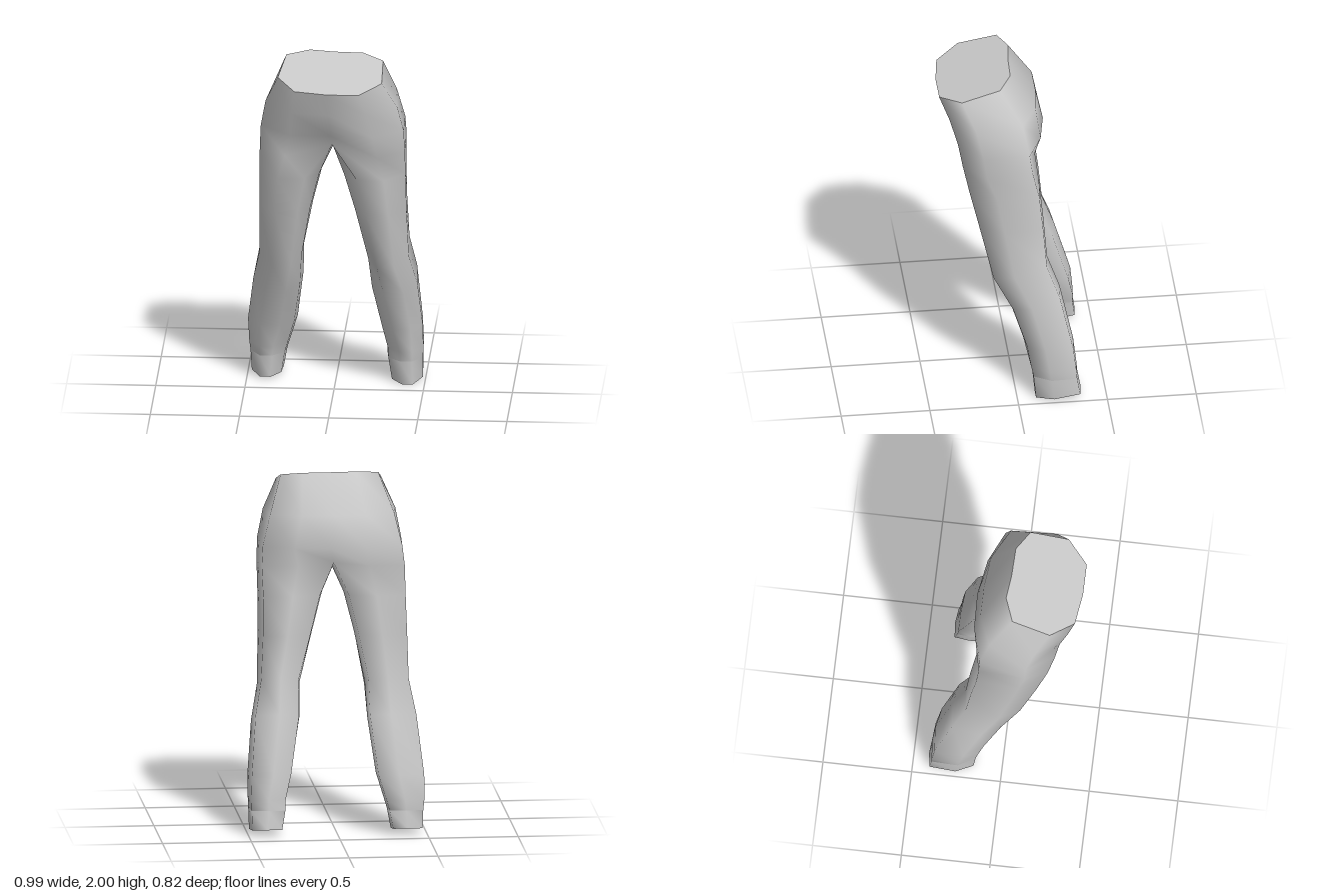
import * as THREE from 'three';
import { mergeVertices } from 'three/addons/utils/BufferGeometryUtils.js';

const fabric = new THREE.MeshStandardMaterial({ color: 0xcacaca });
fabric.name = 'light grey fabric';

// Side wall triangles between an upper and a lower ring
function wall(out, a, b) {
  a.forEach((p, i) => {
    const j = (i + 1) % a.length;
    out.push(...p, ...a[j], ...b[i], ...a[j], ...b[j], ...b[i]);
  });
}

// Fan that closes a ring, facing up or down
function cap(out, ring, up) {
  const c = [0, 1, 2].map(k => ring.reduce((s, p) => s + p[k], 0) / ring.length);
  ring.forEach((p, i) => {
    const q = ring[(i + 1) % ring.length];
    out.push(...c, ...(up ? q : p), ...(up ? p : q));
  });
}

// Smooth mesh from loose triangles
function part(name, triangles) {
  let g = new THREE.BufferGeometry();
  g.setAttribute('position', new THREE.Float32BufferAttribute(triangles, 3));
  g = mergeVertices(g, 1e-4);
  g.computeVertexNormals();
  const m = new THREE.Mesh(g, fabric);
  m.name = name;
  return m;
}

// Outlines as fractions: across (inner to outer), depth (back to front)
const THIGH = [[0.06, 0.1], [0.5, 0], [0.97, 0.04], [1, 0.62],
  [0.68, 0.98], [0.25, 0.95], [0.03, 0.7], [0, 0.36]];
const CALF = [[0.03, 0.08], [0.45, 0], [0.96, 0.04], [1, 0.6],
  [0.74, 0.96], [0.32, 1], [0.05, 0.74], [0, 0.36]];
const HEM = [[0.04, 0.03], [0.5, 0], [0.97, 0.04], [1, 0.62],
  [0.72, 1], [0.38, 1], [0.05, 0.74], [0, 0.36]];
const OUTLINES = [THIGH, THIGH, THIGH, CALF, CALF, HEM, HEM, HEM];

// side: +1 or -1; tilt raises the back of the ring
function legRing(outline, side, [y, tilt, xin, xout, zb, zf]) {
  const r = outline.map(([u, v]) =>
    [side * (xin + (xout - xin) * u), y + tilt * (1 - v), zb + (zf - zb) * v]);
  return side > 0 ? r : r.reverse();
}

// Leg sections: front height, tilt, inner x, outer x, back z, front z
const LEFT = [
  [1.32, 0, 0.055, 0.408, -0.145, 0.263], [1.1, 0, 0.115, 0.41, -0.165, 0.21],
  [0.76, 0.1, 0.187, 0.42, -0.182, 0.13], [0.57, 0.1, 0.197, 0.462, -0.25, 0.03],
  [0.34, 0, 0.25, 0.488, -0.322, -0.045], [0.2, 0, 0.283, 0.49, -0.337, -0.08],
  [0.14, 0, 0.285, 0.488, -0.342, -0.092], [0, 0.035, 0.305, 0.485, -0.36, -0.105]];
const RIGHT = [
  [1.32, 0, 0.065, 0.412, -0.165, 0.253], [1.1, 0, 0.12, 0.416, -0.195, 0.195],
  [0.76, 0.1, 0.175, 0.42, -0.22, 0.1], [0.57, 0.1, 0.182, 0.46, -0.29, 0.0],
  [0.34, 0, 0.22, 0.495, -0.385, -0.09], [0.2, 0, 0.262, 0.49, -0.4, -0.135],
  [0.14, 0, 0.28, 0.483, -0.4, -0.147], [0.01, 0.03, 0.3, 0.477, -0.414, -0.16]];

export function createModel() {
  const group = new THREE.Group();
  group.name = 'trousers';

  // Torso rings run back centre, left side, front centre, right side
  const waist = [[0, 0.005], [0.165, 0.01], [0.28, 0.08], [0.285, 0.295], [0.16, 0.41],
    [-0.02, 0.41], [-0.2, 0.385], [-0.3, 0.255], [-0.265, 0.04], [-0.135, -0.01]]
    .map(([x, z]) => [x, 2 - 0.293 * z, z]);
  const hips = [[0, -0.15], [0.18, -0.13], [0.35, -0.04], [0.367, 0.22], [0.2, 0.355],
    [-0.01, 0.367], [-0.22, 0.345], [-0.374, 0.17], [-0.345, -0.08], [-0.18, -0.15]]
    .map(([x, z]) => [x, 1.77 - 0.07 * z, z]);
  const seat = [[0.02, -0.19], [0.22, -0.155], [0.395, -0.075], [0.402, 0.185], [0.23, 0.312],
    [0, 0.305], [-0.23, 0.302], [-0.403, 0.13], [-0.385, -0.13], [-0.18, -0.185]]
    .map(([x, z]) => [x, 1.6, z]);
  const thighs = [[0, 1.51, -0.13], [0.2, 1.49, -0.125], [0.402, 1.49, -0.09],
    [0.407, 1.47, 0.165], [0.26, 1.47, 0.288], [0, 1.52, 0.21], [-0.26, 1.47, 0.28],
    [-0.409, 1.47, 0.125], [-0.398, 1.49, -0.135], [-0.2, 1.49, -0.145]];
  const crotchFront = [0, 1.475, 0.1], crotchBack = [0, 1.465, -0.03];

  const body = [];
  wall(body, waist, hips);
  wall(body, hips, seat);
  wall(body, seat, thighs);

  // Each leg starts from its half of the thigh ring plus the crotch seam
  const tops = {
    left: [...thighs.slice(0, 6), crotchFront, crotchBack],
    right: [crotchBack, crotchFront, ...thighs.slice(5), thighs[0]],
  };
  for (const [name, side, rows] of [['left', 1, LEFT], ['right', -1, RIGHT]]) {
    const rings = rows.map((row, i) => legRing(OUTLINES[i], side, row));
    const hemBottom = rings.pop();
    let prev = tops[name];
    for (const r of rings) {
      wall(body, prev, r);
      prev = r;
    }
    // Hem band with a closed underside
    const hem = [], underside = [];
    wall(hem, prev, hemBottom);
    cap(underside, hemBottom, false);
    group.add(part(name + 'Hem', hem), part(name + 'HemUnderside', underside));
  }
  group.add(part('hipsAndLegs', body));

  // Flat sloping lid at the waist
  const lid = [];
  cap(lid, waist, true);
  group.add(part('waistLid', lid));
  return group;
}
